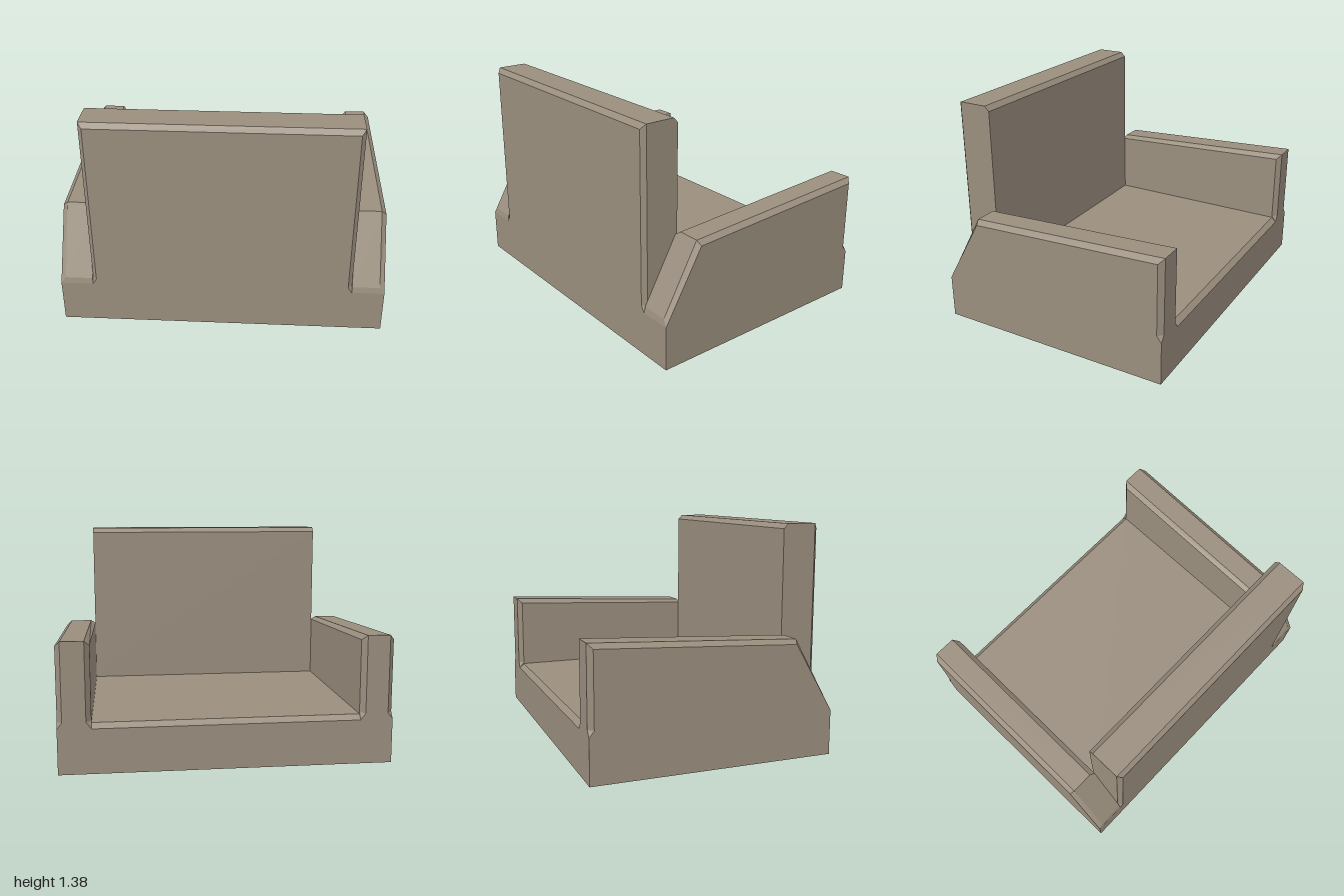
import * as THREE from 'three';

const W = 0.994, D = 0.75, IN = 0.797; // half width, half depth, inner half width

// Closed solid through stacked rings of [x, y, z] points, counterclockwise from above
function loft(rings) {
  const pos = [];
  const tri = (a, b, c) => {
    const t = new THREE.Triangle(...[a, b, c].map(p => new THREE.Vector3(...p)));
    if (t.getArea() > 1e-7) pos.push(...a, ...b, ...c);
  };
  const n = rings[0].length, top = rings[rings.length - 1], bottom = rings[0];
  for (let i = 0; i < rings.length - 1; i++) {
    for (let j = 0; j < n; j++) {
      const k = (j + 1) % n;
      tri(rings[i][j], rings[i][k], rings[i + 1][k]);
      tri(rings[i][j], rings[i + 1][k], rings[i + 1][j]);
    }
  }
  for (let j = 1; j < n - 1; j++) {
    tri(top[0], top[j], top[j + 1]);
    tri(bottom[0], bottom[j + 1], bottom[j]);
  }
  const g = new THREE.BufferGeometry();
  g.setAttribute('position', new THREE.Float32BufferAttribute(pos, 3));
  g.computeVertexNormals();
  return g;
}

// Arm: square foot, chamfered front edges, sloping top and slanted rear
function armGeometry(side) {
  const a = W - 0.03, b = IN + 0.03, f = 0.03 - D;
  const foot = y => [[W, y, D], [W, y, D], [W, y, -D], [W, y, -D], [IN, y, -D], [IN, y, -D], [IN, y, D]];
  const rings = [
    foot(0),
    foot(0.272),
    [[a, 0.31, 0.742], [W, 0.272, D], [W, 0.31, f], [a, 0.31, -D], [b, 0.31, -D], [IN, 0.31, f], [IN, 0.31, 0.742]],
    [[a, 0.717, 0.515], [W, 0.69, 0.505], [W, 0.752, f], [a, 0.752, -D], [b, 0.752, -D], [IN, 0.752, f], [IN, 0.695, 0.526]],
    [[a, 0.717, 0.515], [a, 0.717, 0.515], [a, 0.782, -D], [a, 0.782, -D], [b, 0.782, -D], [b, 0.782, -D], [b, 0.717, 0.515]],
  ];
  if (side > 0) return loft(rings);
  return loft(rings.map(r => r.map(([x, y, z]) => [-x, y, z]).reverse()));
}

// Backrest: chamfered rear edges and bevelled top
function backrestGeometry() {
  const ring = (y, front, rear, cx, cz) => [
    [IN - cx, y, rear], [IN, y, rear - cz], [IN, y, front],
    [-IN, y, front], [-IN, y, rear - cz], [cx - IN, y, rear],
  ];
  return loft([
    ring(0.27, 0.515, D, 0, 0),
    ring(0.31, 0.515, D, 0.025, 0.025),
    ring(1.345, 0.515, D, 0.025, 0.025),
    ring(1.375, 0.543, D - 0.025, 0, 0),
  ]);
}

// Seat block: side profile with bevelled lip, swept across the width
function seatGeometry() {
  const profile = [[-D, 0], [D, 0], [D, 0.27], [0.52, 0.27], [0.52, 0.3], [0.03 - D, 0.3], [-D, 0.27]];
  const shape = new THREE.Shape(profile.map(p => new THREE.Vector2(...p)));
  const g = new THREE.ExtrudeGeometry(shape, { depth: 2 * IN, bevelEnabled: false });
  return g.translate(0, 0, -IN).rotateY(-Math.PI / 2);
}

export function createModel() {
  const group = new THREE.Group();
  group.name = 'armchair';
  const taupe = new THREE.MeshStandardMaterial({ color: 0x9a8e7e });
  taupe.name = 'taupe';
  const add = (name, geometry) => {
    const mesh = new THREE.Mesh(geometry, taupe);
    mesh.name = name;
    group.add(mesh);
  };
  add('seat', seatGeometry());
  add('backrest', backrestGeometry());
  add('leftArm', armGeometry(1));
  add('rightArm', armGeometry(-1));
  // Slight turn of the whole chair
  group.rotation.y = -0.0075;
  return group;
}
